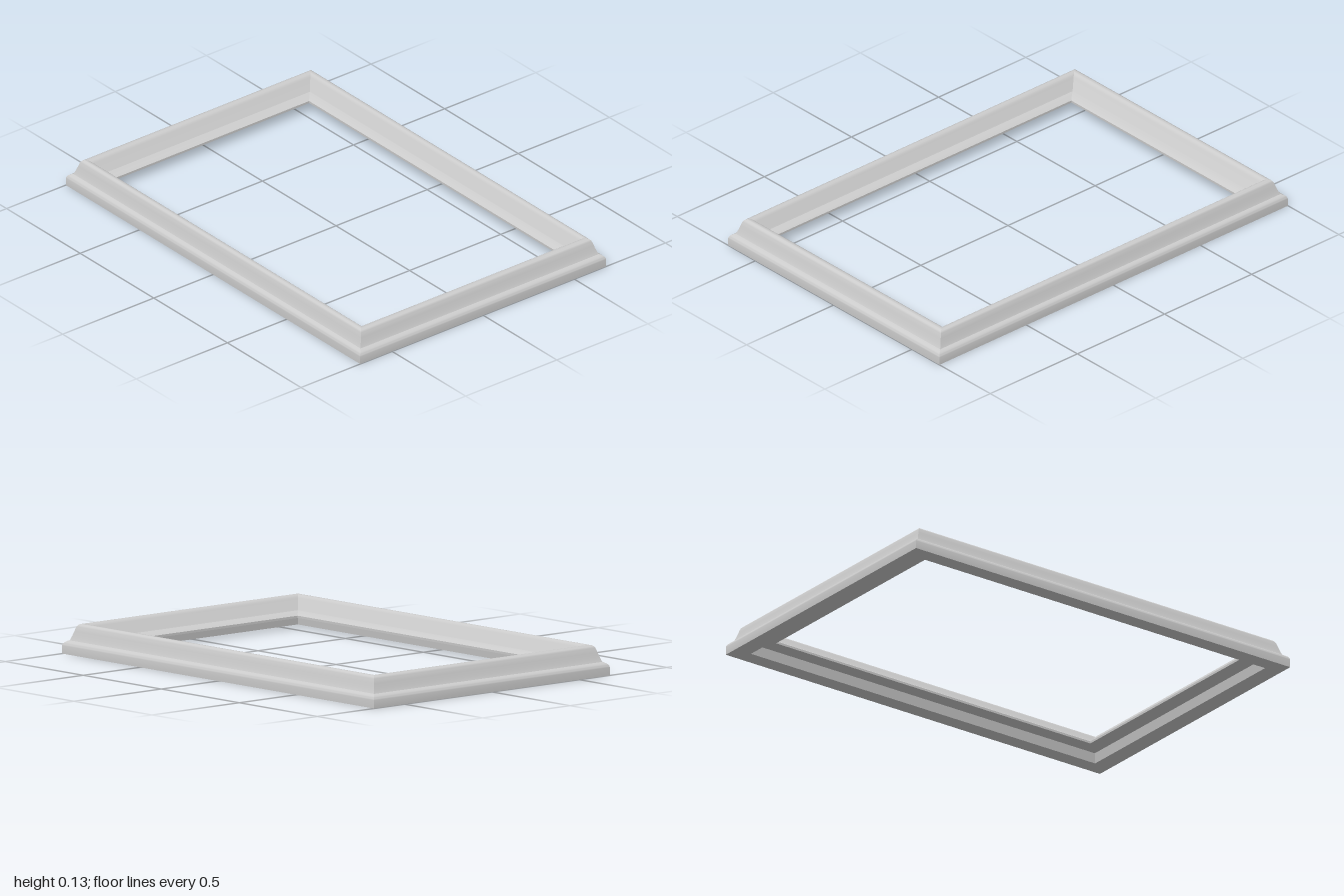
import * as THREE from 'three';
import { toCreasedNormals } from 'three/addons/utils/BufferGeometryUtils.js';

const HALF_X = 1, HALF_Z = 0.675, Z_INSET = 0.9; // end rails are slightly wider than the long ones

// Moulding cross-section as [inset from the outer edge, height]
function mouldingProfile() {
  const s = new THREE.Shape();
  s.moveTo(0, 0);
  s.lineTo(0, 0.035);
  s.quadraticCurveTo(0.003, 0.052, 0.024, 0.058);    // rounded foot
  s.quadraticCurveTo(0.031, 0.07, 0.044, 0.112);     // sloping cove
  s.quadraticCurveTo(0.05, 0.129, 0.062, 0.13);      // crown
  s.lineTo(0.072, 0.13);
  s.quadraticCurveTo(0.082, 0.126, 0.09, 0.112);
  s.lineTo(0.12, 0.07);                              // inner slope
  s.lineTo(0.148, 0.063);                            // sight lip
  s.lineTo(0.16, 0.055);
  s.lineTo(0.16, 0.045);
  s.lineTo(0.085, 0.045);                            // rabbet
  s.lineTo(0.08, 0);
  s.lineTo(0, 0);
  return s.getPoints(6);
}

// One mitred rail between two corners, each given as signs [x, z]
function railGeometry(profile, a, b) {
  const at = (c, p) => [c[0] * (HALF_X - p.x), p.y, c[1] * (HALF_Z - p.x * Z_INSET)];
  const pos = [];
  for (let i = 0; i < profile.length - 1; i++) {
    const p = profile[i], q = profile[i + 1];
    if (p.distanceTo(q) < 1e-6) continue;
    const a0 = at(a, p), b0 = at(b, p), a1 = at(a, q), b1 = at(b, q);
    pos.push(...a0, ...b0, ...b1, ...a0, ...b1, ...a1);
  }
  const g = new THREE.BufferGeometry();
  g.setAttribute('position', new THREE.Float32BufferAttribute(pos, 3));
  return toCreasedNormals(g, 0.55);
}

export function createModel() {
  const group = new THREE.Group();
  group.name = 'frame';
  const material = new THREE.MeshStandardMaterial({ color: 0xcccccc });
  const profile = mouldingProfile();
  const corners = [[-1, 1], [1, 1], [1, -1], [-1, -1]];
  ['frontRail', 'leftRail', 'backRail', 'rightRail'].forEach((name, i) => {
    const rail = new THREE.Mesh(railGeometry(profile, corners[i], corners[(i + 1) % 4]), material);
    rail.name = name;
    group.add(rail);
  });
  return group;
}
